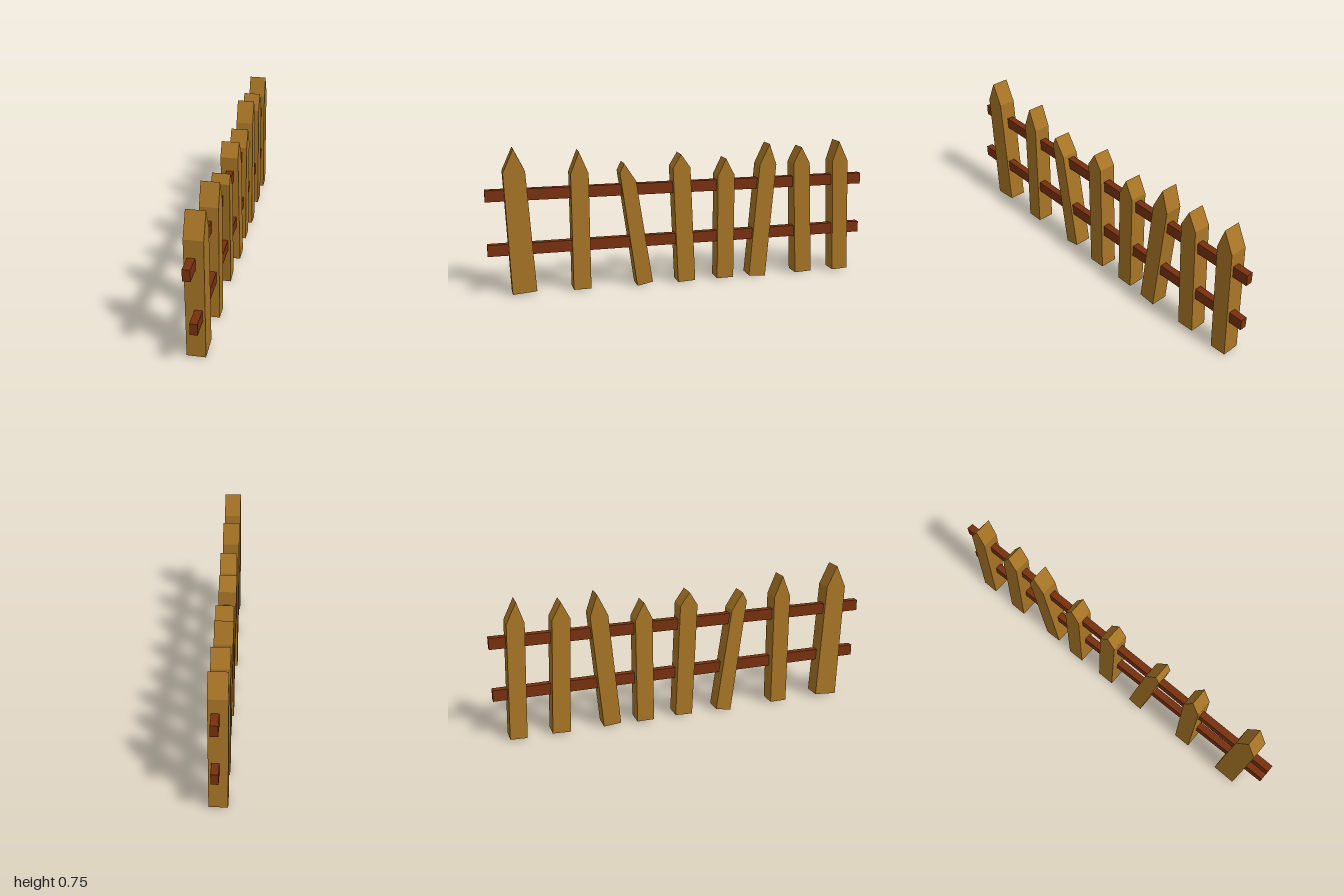
import * as THREE from 'three';

const picketWood = new THREE.MeshStandardMaterial({ color: 0xa87526 });
picketWood.name = 'picket wood';
const railWood = new THREE.MeshStandardMaterial({ color: 0x78300f });
railWood.name = 'rail wood';

// Pointed board: outline corners are [z, y], with a small sideways lean in x
function picket(outline, lean) {
  const shape = new THREE.Shape(outline.map(([z, y]) => new THREE.Vector2(-z, y)));
  const depth = 0.09;
  const geo = new THREE.ExtrudeGeometry(shape, { depth, bevelEnabled: false });
  geo.translate(0, 0, -depth / 2);
  geo.rotateY(Math.PI / 2);
  const pos = geo.attributes.position;
  for (let i = 0; i < pos.count; i++) {
    pos.setX(i, pos.getX(i) + lean * (pos.getY(i) / 0.35 - 1));
  }
  geo.computeVertexNormals();
  return new THREE.Mesh(geo, picketWood);
}

// Long square rail whose two ends may sit at different x
function rail(y, frontX, backX) {
  const geo = new THREE.BoxGeometry(0.036, 0.058, 2);
  const pos = geo.attributes.position;
  for (let i = 0; i < pos.count; i++) {
    const t = (pos.getZ(i) + 1) / 2;
    pos.setX(i, pos.getX(i) + backX + (frontX - backX) * t);
  }
  geo.translate(0, y, 0);
  geo.computeVertexNormals();
  return new THREE.Mesh(geo, railWood);
}

export function createModel() {
  const fence = new THREE.Group();
  fence.name = 'picketFence';

  // Each board: bottom, shoulder, tip, shoulder, bottom as [z, y], then lean
  const boards = [
    [[[0.887, 0.008], [0.91, 0.63], [0.856, 0.747], [0.802, 0.635], [0.765, 0.018]], 0.002],
    [[[0.58, 0.01], [0.58, 0.61], [0.536, 0.72], [0.49, 0.61], [0.49, 0.01]], -0.001],
    [[[0.247, 0.002], [0.333, 0.605], [0.31, 0.652], [0.25, 0.56], [0.165, 0.018]], 0.006],
    [[[0.03, 0.008], [0.055, 0.615], [0.012, 0.685], [-0.037, 0.615], [-0.062, 0.012]], -0.005],
    [[[-0.185, 0.01], [-0.185, 0.565], [-0.228, 0.653], [-0.275, 0.565], [-0.275, 0.01]], 0.001],
    [[[-0.362, 0.014], [-0.416, 0.61], [-0.469, 0.72], [-0.507, 0.61], [-0.453, 0.006]], -0.006],
    [[[-0.63, 0.008], [-0.604, 0.61], [-0.647, 0.697], [-0.695, 0.61], [-0.722, 0.012]], 0],
    [[[-0.85, 0.008], [-0.827, 0.612], [-0.862, 0.72], [-0.915, 0.612], [-0.936, 0.012]], 0],
  ];
  boards.forEach(([outline, lean], i) => {
    const board = picket(outline, lean);
    board.name = `picket${i + 1}`;
    fence.add(board);
  });

  // Rails running through the boards
  const upper = rail(0.511, -0.011, 0.012);
  upper.name = 'upperRail';
  const lower = rail(0.24, 0.015, 0.012);
  lower.name = 'lowerRail';
  fence.add(upper, lower);
  return fence;
}
